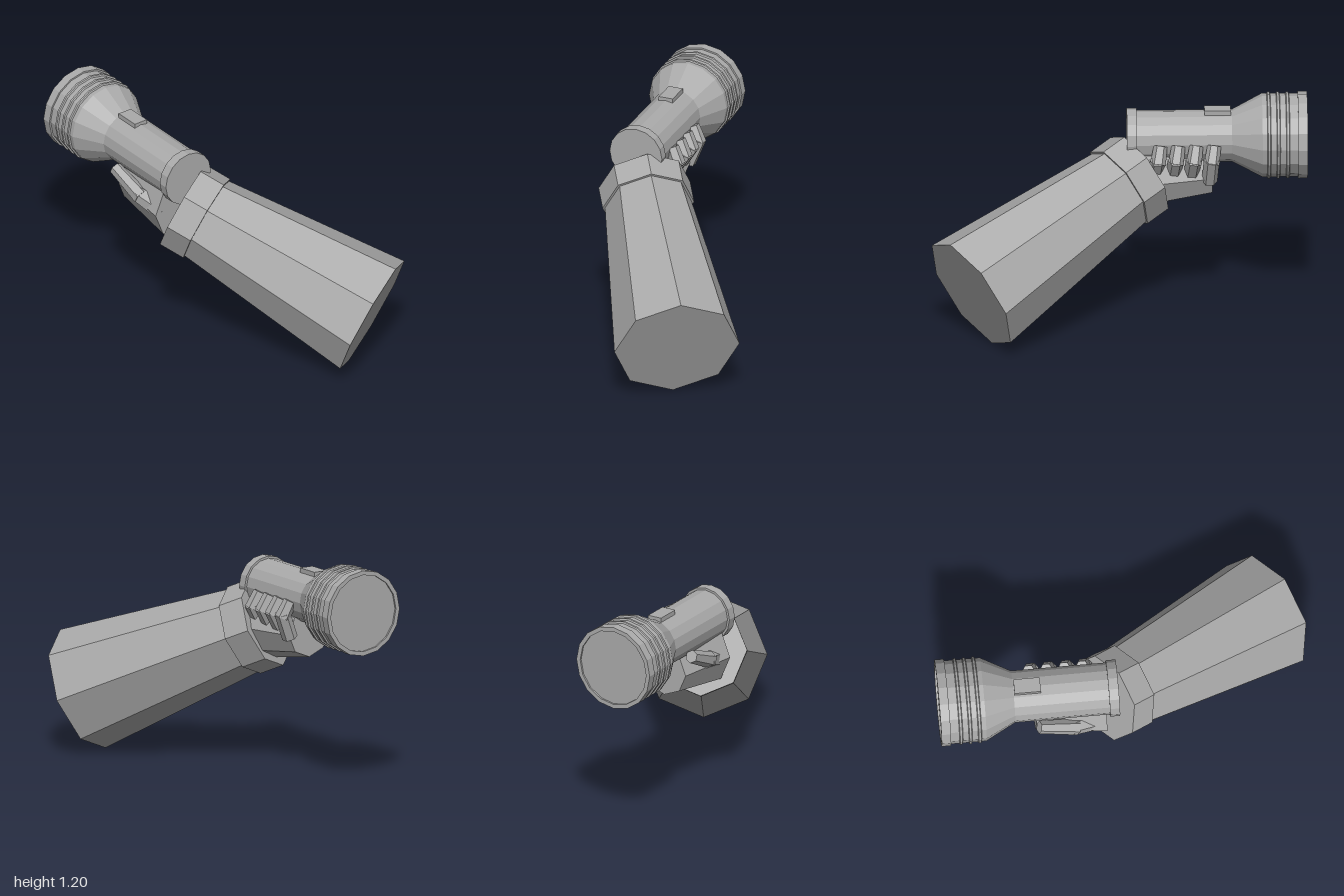
import * as THREE from 'three';

const gray = new THREE.MeshStandardMaterial({ color: 0xaaaaaa, flatShading: true });
gray.name = 'gray';

const V = (x, y, z) => new THREE.Vector3(x, y, z);

// Tapered prism between two points, one corner turned towards ref
function limb(name, a, b, r0, r1, sides, ref = V(0, 1, 0)) {
  const dir = b.clone().sub(a);
  const geo = new THREE.CylinderGeometry(r1, r0, dir.length(), sides);
  const y = dir.normalize();
  const z = ref.clone().addScaledVector(y, -ref.dot(y)).normalize();
  const x = y.clone().cross(z);
  geo.applyMatrix4(new THREE.Matrix4().makeBasis(x, y, z));
  const mid = a.clone().add(b).multiplyScalar(0.5);
  geo.translate(mid.x, mid.y, mid.z);
  const mesh = new THREE.Mesh(geo, gray);
  mesh.name = name;
  return mesh;
}

export function createModel() {
  const model = new THREE.Group();
  model.name = 'handWithFlashlight';

  // Flashlight: radius against distance towards the lens
  const flashlight = new THREE.Group();
  flashlight.name = 'flashlight';
  const profile = [[0, 0.043], [0.15, 0.043], [0.15, 0.096], [0.138, 0.096], [0.138, 0.6], [0.222, 0.76]];
  for (const t of [0.785, 0.835, 0.885]) {
    profile.push([0.222, t], [0.23, t + 0.004], [0.23, t + 0.016], [0.222, t + 0.02]);
  }
  profile.push([0.222, 0.95], [0.231, 0.95], [0.231, 1], [0.208, 1], [0.208, 0.99], [0, 0.99]);
  const barrel = new THREE.LatheGeometry(profile.map(([r, t]) => new THREE.Vector2(r, t)), 16);
  barrel.rotateX(-Math.PI / 2);
  const body = new THREE.Mesh(barrel, gray);
  body.name = 'flashlightBody';
  body.position.set(-0.32, 0.97, 0);
  const button = new THREE.Mesh(new THREE.BoxGeometry(0.08, 0.05, 0.14), gray);
  button.name = 'switchButton';
  button.position.set(-0.32, 1.1, -0.525);
  flashlight.add(body, button);
  model.add(flashlight);

  // Forearm sleeve and wrist cuff share one axis
  const elbow = V(0.265, 0.3125, 0.795);
  const wrist = V(-0.23, 0.712, 0);
  const axis = wrist.clone().sub(elbow).normalize();
  const cuffEnd = wrist.clone().addScaledVector(axis, 0.143);
  model.add(limb('sleeve', elbow, wrist, 0.336, 0.233, 8));
  model.add(limb('cuff', wrist, cuffEnd, 0.246, 0.246, 8));

  // Palm under the barrel
  const hand = new THREE.Group();
  hand.name = 'hand';
  hand.add(limb('palm', V(-0.3, 0.765, -0.12), V(-0.315, 0.775, -0.49), 0.185, 0.13, 8));

  // Four fingers wrapping up the +x side
  for (let i = 0; i < 4; i++) {
    const z = -0.205 - i * 0.095;
    const low = i === 3 ? 0.76 : 0.81;
    const side = V(0, 0, 1);
    hand.add(limb('fingerLower', V(-0.2, low, z + 0.01), V(-0.145, 0.9, z), 0.042, 0.042, 6, side));
    hand.add(limb('fingerTip', V(-0.145, 0.875, z), V(-0.185, 0.965, z - 0.015), 0.042, 0.036, 6, side));
  }

  // Thumb along the -x side
  hand.add(limb('thumbBase', V(-0.4, 0.75, -0.14), V(-0.462, 0.81, -0.3), 0.06, 0.045, 6));
  hand.add(limb('thumbTip', V(-0.458, 0.8, -0.27), V(-0.475, 0.89, -0.475), 0.045, 0.035, 6));
  model.add(hand);

  return model;
}
